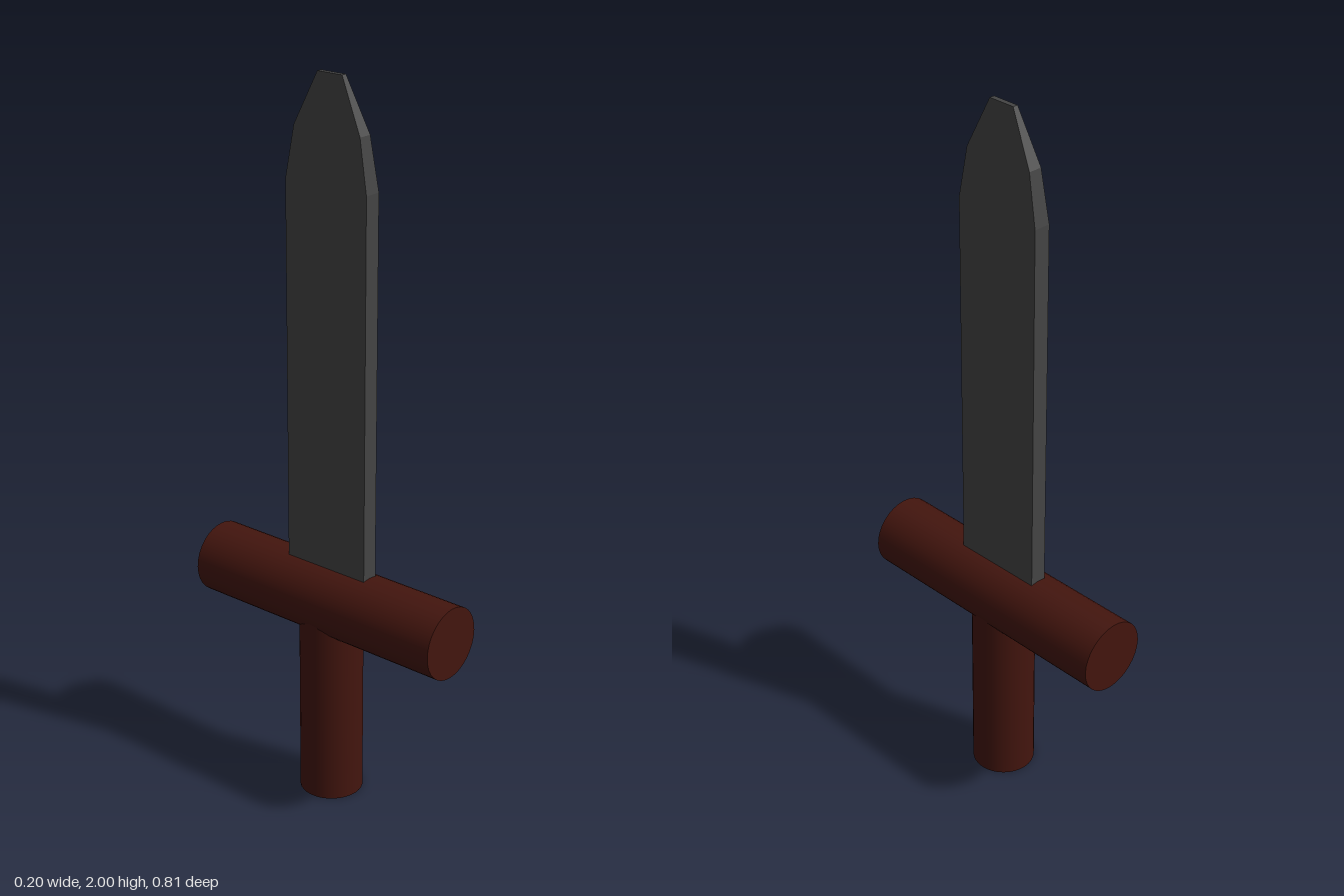
import * as THREE from 'three';

const wood = new THREE.MeshStandardMaterial({ color: 0x43150e });
const steel = new THREE.MeshStandardMaterial({ color: 0x444444, flatShading: true });

function rod(name, radius, length) {
  const mesh = new THREE.Mesh(new THREE.CylinderGeometry(radius, radius, length, 32), wood);
  mesh.name = name;
  return mesh;
}

// Rectangular bar whose cross-section shrinks in steps towards a blunt tip
function bladeGeometry() {
  const levels = [ // height, scale of the cross-section
    [0.58, 1],
    [1.72, 1],
    [1.86, 0.81],
    [2.0, 0.3],
  ];
  const geometry = new THREE.BoxGeometry(0.048, 3, 0.262, 1, 3, 1);
  const p = geometry.attributes.position;
  for (let i = 0; i < p.count; i++) {
    const [y, s] = levels[Math.round(p.getY(i) + 1.5)];
    p.setXYZ(i, p.getX(i) * s, y, p.getZ(i) * s);
  }
  geometry.computeVertexNormals();
  return geometry;
}

export function createModel() {
  const group = new THREE.Group();
  group.name = 'dagger';

  // Upright grip, ending inside the crossguard
  const grip = rod('grip', 0.087, 0.58);
  grip.position.y = 0.29;

  // Crossguard running front to back
  const guard = rod('crossguard', 0.1, 0.806);
  guard.rotation.x = Math.PI / 2;
  guard.position.y = 0.58;

  const blade = new THREE.Mesh(bladeGeometry(), steel);
  blade.name = 'blade';

  group.add(grip, guard, blade);
  return group;
}
